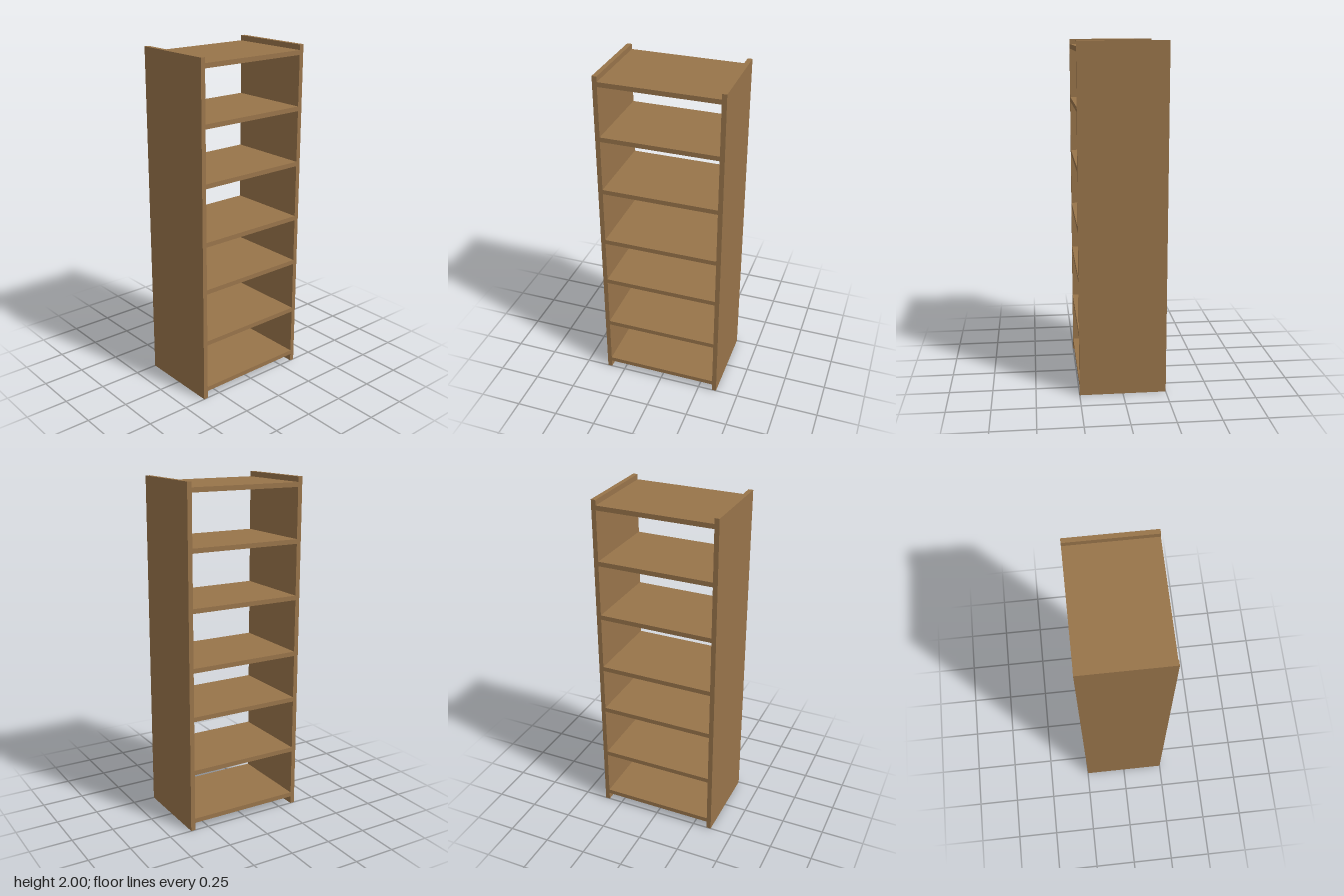
import * as THREE from 'three';

export function createModel() {
  const group = new THREE.Group();
  group.name = 'openShelf';
  const wood = new THREE.MeshStandardMaterial({ color: 0x98744a });
  wood.name = 'wood';

  const height = 2, depth = 0.5, board = 0.027, outerX = 0.364;
  const innerWidth = 2 * (outerX - board);

  const addBoard = (name, w, h, x, y) => {
    const mesh = new THREE.Mesh(new THREE.BoxGeometry(w, h, depth), wood);
    mesh.name = name;
    mesh.position.set(x, y, 0);
    group.add(mesh);
  };

  // Full-height side panels
  addBoard('leftPanel', board, height, outerX - board / 2, height / 2);
  addBoard('rightPanel', board, height, -outerX + board / 2, height / 2);

  // Shelves between the panels, bottom to top
  [0.059, 0.361, 0.685, 0.971, 1.309, 1.637, 1.956].forEach((y, i) =>
    addBoard(`shelf${i + 1}`, innerWidth, board, 0, y));

  return group;
}
